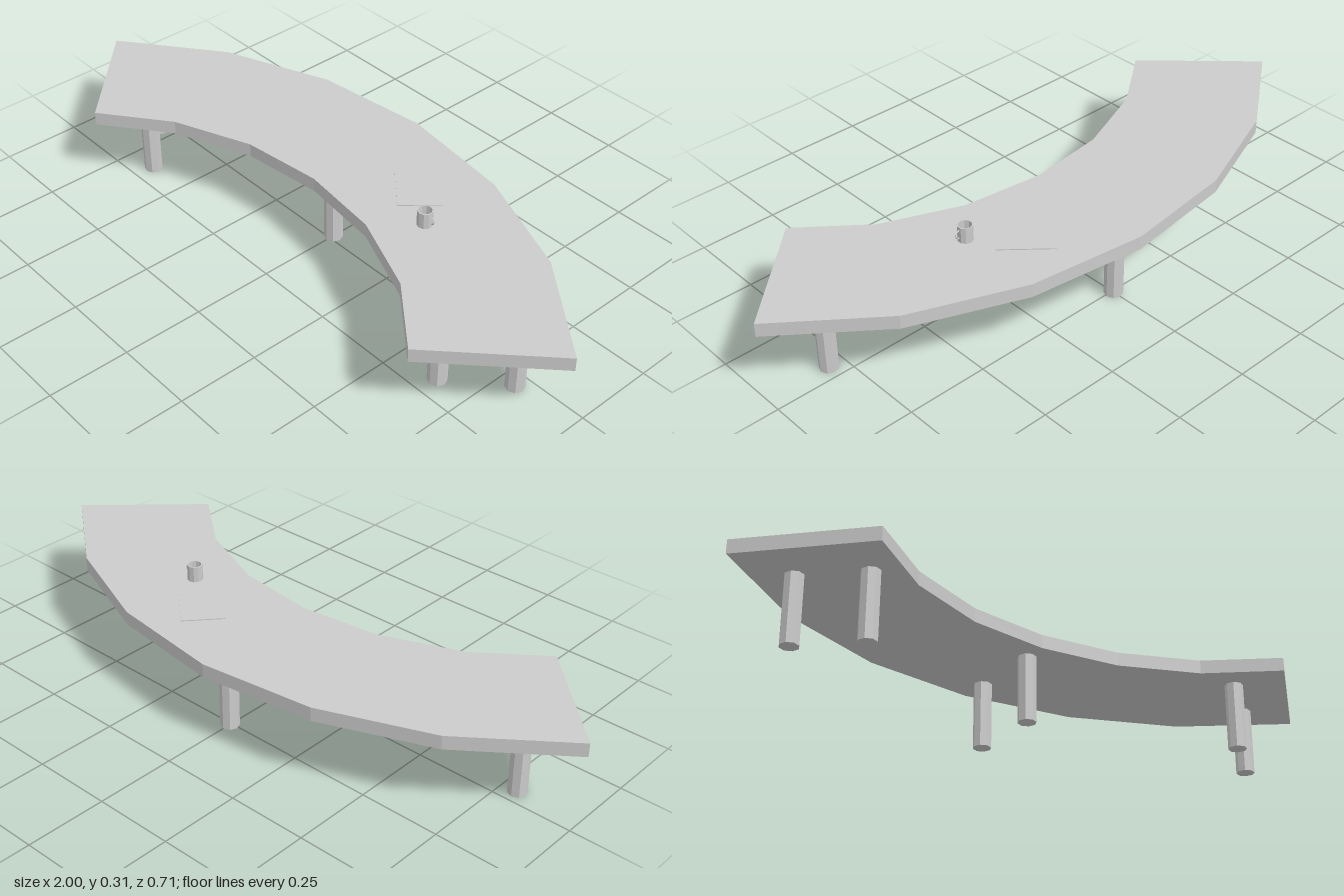
import * as THREE from 'three';

const material = new THREE.MeshStandardMaterial({ color: 0xcccccc, flatShading: true });
const openMaterial = new THREE.MeshStandardMaterial({ color: 0xcccccc, flatShading: true, side: THREE.DoubleSide });

const TOP = 0.255, UNDERSIDE = 0.212;

function add(parent, name, geometry, x = 0, y = 0, z = 0, mat = material) {
  const mesh = new THREE.Mesh(geometry, mat);
  mesh.name = name;
  mesh.position.set(x, y, z);
  parent.add(mesh);
  return mesh;
}

export function createModel() {
  const table = new THREE.Group();
  table.name = 'curvedTable';

  // Crescent tabletop: outer arc left to right, then inner arc back (x, z)
  const outline = [
    [-1, 0.05], [-0.70, -0.18], [-0.363, -0.313], [0, -0.357], [0.367, -0.308], [0.706, -0.17], [1, 0.062],
    [0.695, 0.354], [0.50, 0.194], [0.257, 0.094], [0, 0.062], [-0.254, 0.092], [-0.498, 0.189], [-0.70, 0.343],
  ].map(([x, z]) => new THREE.Vector2(x, z));
  const slab = new THREE.ExtrudeGeometry(new THREE.Shape(outline), { depth: TOP - UNDERSIDE, bevelEnabled: false });
  slab.rotateX(Math.PI / 2);
  add(table, 'tabletop', slab, 0, TOP, 0);

  // Three pairs of octagonal legs
  const leg = new THREE.CylinderGeometry(0.0285, 0.0285, UNDERSIDE, 8);
  const legSpots = [[0, -0.256], [0, -0.015]];
  for (const side of [-1, 1]) legSpots.push([side * 0.8, 0.046], [side * 0.643, 0.184]);
  for (const [x, z] of legSpots) add(table, 'leg', leg, x, UNDERSIDE / 2, z);

  // Sheet of paper lying askew
  const paper = add(table, 'paper', new THREE.BoxGeometry(0.168, 0.003, 0.13), 0.232, TOP + 0.0015, -0.134);
  paper.rotation.y = -0.72;

  // Hollow mug with a ring handle
  const mug = new THREE.Group();
  mug.name = 'mug';
  mug.position.set(0.363, TOP, -0.031);
  table.add(mug);
  const profile = [[0, 0], [0.0235, 0], [0.0235, 0.05], [0.020, 0.05], [0.020, 0.005], [0, 0.005]];
  add(mug, 'mugBody', new THREE.LatheGeometry(profile.map(([r, y]) => new THREE.Vector2(r, y)), 10),
    0, 0, 0, openMaterial);
  const handle = add(mug, 'mugHandle', new THREE.TorusGeometry(0.013, 0.002, 4, 8, Math.PI), 0.022, 0.027, 0);
  handle.rotation.z = -Math.PI / 2;

  return table;
}
